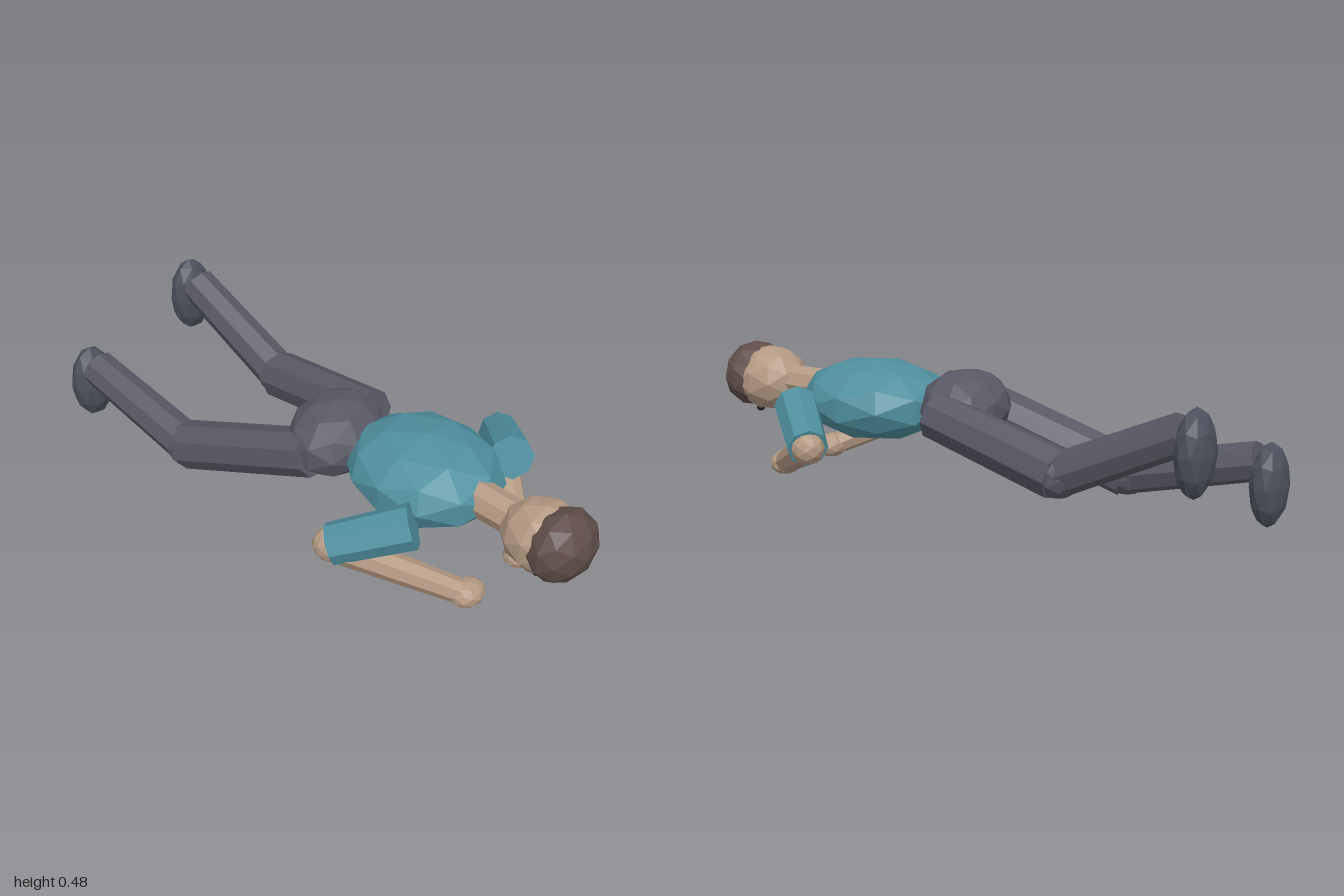
import * as THREE from 'three';

const material = (name, color) => {
  const m = new THREE.MeshStandardMaterial({ color, flatShading: true });
  m.name = name;
  return m;
};

export function createModel() {
  const group = new THREE.Group();
  const shirt = material('teal shirt', 0x4f8f9e);
  const trousers = material('grey trousers', 0x585965);
  const shoe = material('slate shoes', 0x4c505c);
  const skin = material('skin', 0xb49a84);
  const hair = material('brown hair', 0x5f4d49);
  const eye = material('dark eyes', 0x241e20);

  const add = (name, geometry, mat) => {
    const mesh = new THREE.Mesh(geometry, mat);
    mesh.name = name;
    group.add(mesh);
    return mesh;
  };

  // Faceted ellipsoid with its five-sided pole along z
  const blob = (name, center, size, mat, upright = false) => {
    const g = new THREE.IcosahedronGeometry(1, 1);
    g.rotateX(Math.atan(0.618034)).rotateZ(Math.PI / 2);
    if (upright) g.rotateX(Math.PI / 2);
    g.scale(...size);
    const mesh = add(name, g, mat);
    mesh.position.set(...center);
    return mesh;
  };

  // Eight-sided tapered limb from a to b
  const limb = (name, a, b, ra, rb, mat) => {
    const start = new THREE.Vector3(...a), end = new THREE.Vector3(...b);
    const dir = end.clone().sub(start);
    const mesh = add(name, new THREE.CylinderGeometry(rb, ra, dir.length(), 8), mat);
    mesh.position.copy(start).add(end).multiplyScalar(0.5);
    mesh.quaternion.setFromUnitVectors(new THREE.Vector3(0, 1, 0), dir.normalize());
  };

  // Trunk and head, lying face down with the head towards +z
  blob('torso', [0, 0.3, 0.365], [0.228, 0.135, 0.27], shirt);
  blob('pelvis', [-0.06, 0.305, 0.04], [0.187, 0.125, 0.152], trousers).rotation.y = 0.24;
  limb('neck', [0, 0.31, 0.57], [0, 0.31, 0.74], 0.06, 0.057, skin);
  blob('head', [0, 0.308, 0.835], [0.123, 0.115, 0.14], skin);
  blob('hair', [0, 0.315, 0.902], [0.13, 0.117, 0.096], hair);

  for (const s of [1, -1]) {
    const side = s > 0 ? 'left' : 'right';
    blob(side + 'Eye', [s * 0.043, 0.204, 0.85], [0.015, 0.012, 0.015], eye);

    // Arms, bent with the hands beside the head
    const shoulder = [s * 0.23, 0.3, 0.525], elbow = [s * 0.395, 0.22, 0.34], wrist = [s * 0.15, 0.065, 0.645];
    limb(side + 'UpperArm', shoulder, elbow, 0.073, 0.066, shirt);
    blob(side + 'Elbow', elbow, [0.055, 0.055, 0.055], skin);
    limb(side + 'Forearm', elbow, wrist, 0.052, 0.04, skin);
    blob(side + 'Hand', [s * 0.127, 0.055, 0.665], [0.063, 0.044, 0.05], skin);
  }

  // Legs, each in its own pose
  const legs = [
    { side: 'left', hip: [0.09, 0.305, 0.055], knee: [0.138, 0.2, -0.435], ankle: [0.13, 0.395, -0.845], foot: [0.13, 0.34, -0.883] },
    { side: 'right', hip: [-0.18, 0.29, 0.05], knee: [-0.275, 0.105, -0.455], ankle: [-0.295, 0.215, -0.905], foot: [-0.297, 0.143, -0.94] },
  ];
  for (const { side, hip, knee, ankle, foot } of legs) {
    limb(side + 'Thigh', hip, knee, 0.08, 0.083, trousers);
    blob(side + 'Knee', knee, [0.076, 0.076, 0.076], trousers);
    limb(side + 'Shin', knee, ankle, 0.07, 0.064, trousers);
    blob(side + 'Foot', foot, [0.082, 0.14, 0.06], shoe, true);
  }
  return group;
}
